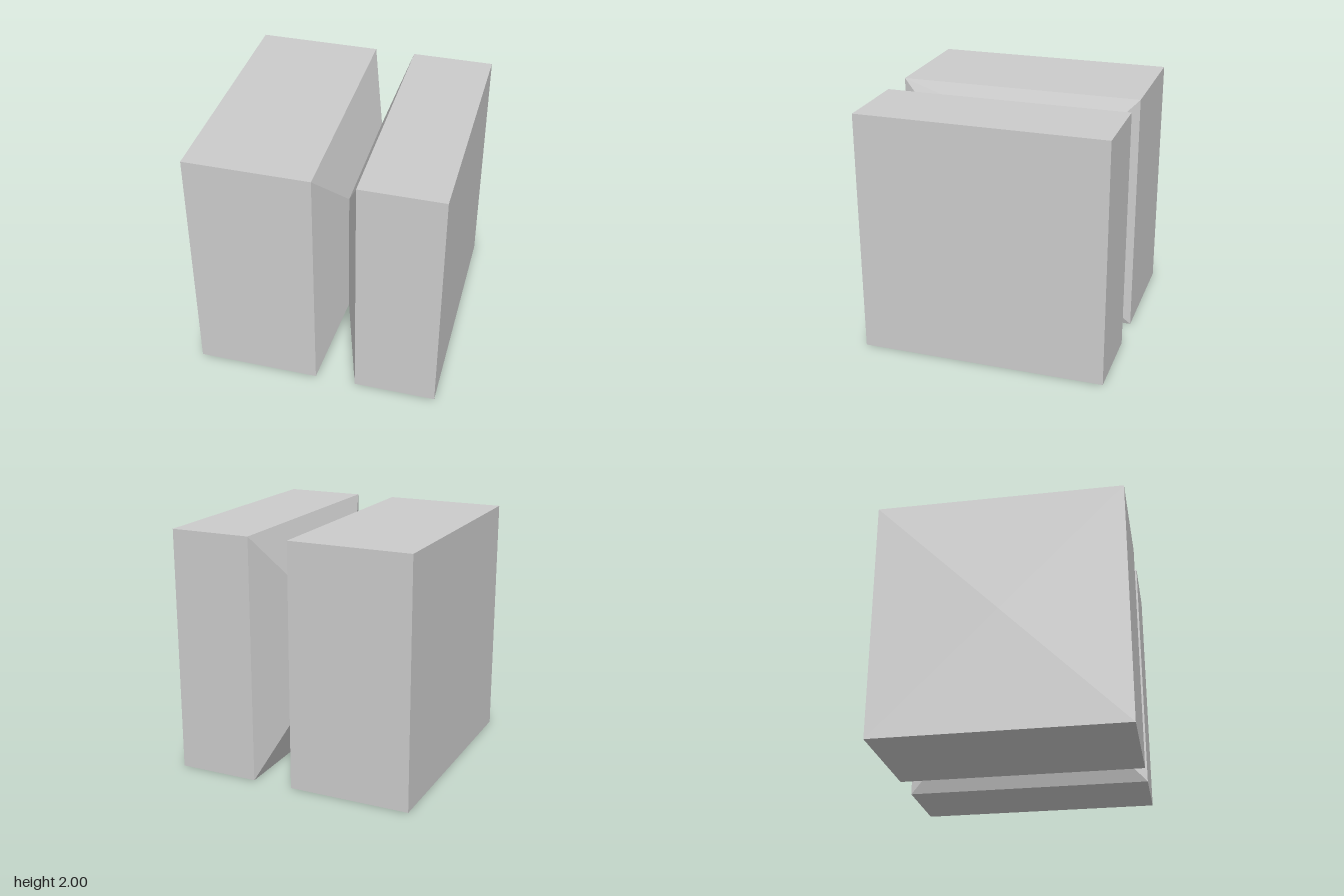
import * as THREE from 'three';

export function createModel() {
  const group = new THREE.Group();
  group.name = 'groovedBlock';

  // Square cross-sections along the block: [half width, x]
  const sections = [[0, -1], [1, -1], [1, 0], [0.55, 1 / 6], [1, 1 / 3], [1, 1], [0, 1]];
  const profile = sections.map(([half, x]) => new THREE.Vector2(half * Math.SQRT2, x));

  // Four-sided lathe, turned so its axis runs along x
  const geometry = new THREE.LatheGeometry(profile, 4, Math.PI / 4);
  geometry.rotateZ(-Math.PI / 2);
  geometry.translate(0, 1, 0);
  const flat = geometry.toNonIndexed();
  flat.computeVertexNormals();

  // Cube with a V-shaped groove running round all four long sides
  const block = new THREE.Mesh(
    flat,
    new THREE.MeshStandardMaterial({ color: 0xcccccc, flatShading: true })
  );
  block.name = 'blockWithGroove';
  group.add(block);
  return group;
}
